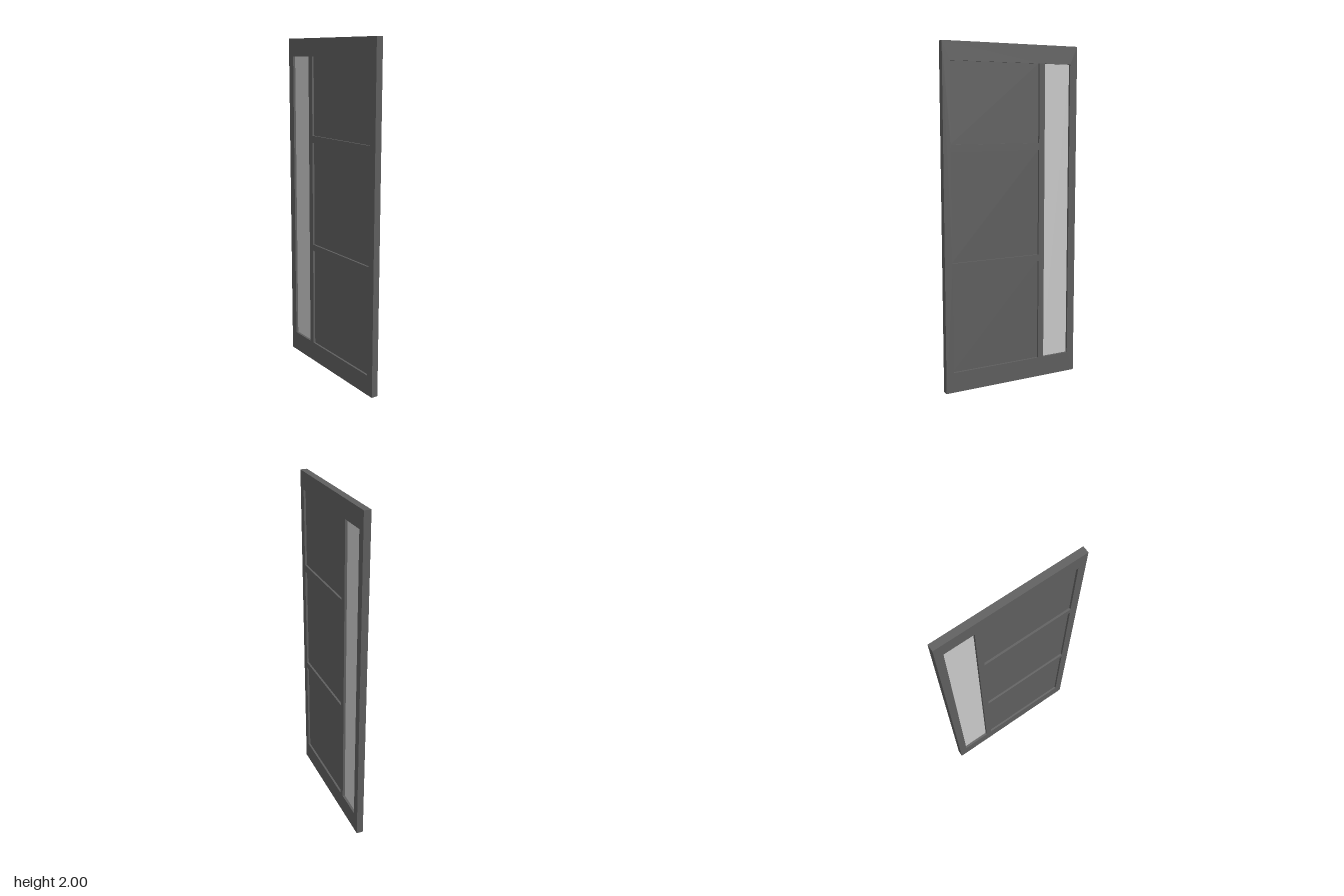
import * as THREE from 'three';

const THICK = 0.04;
const BOTTOM = 0.12, TOP = 1.895;

// Adds a rectangle (z range, y range) to a shape or path
function rect(path, z0, z1, y0, y1) {
  path.moveTo(z0, y0);
  path.lineTo(z1, y0);
  path.lineTo(z1, y1);
  path.lineTo(z0, y1);
  path.closePath();
  return path;
}

// Thin sheet filling an opening, set in the middle of the door
function sheet(name, material, thick, z0, z1, y0, y1) {
  const mesh = new THREE.Mesh(new THREE.BoxGeometry(thick, y1 - y0, z1 - z0), material);
  mesh.position.set(0, (y0 + y1) / 2, (z0 + z1) / 2);
  mesh.name = name;
  return mesh;
}

export function createModel() {
  const door = new THREE.Group();
  door.name = 'door';
  const dark = new THREE.MeshStandardMaterial({ color: 0x5f5f5f });
  const pale = new THREE.MeshStandardMaterial({ color: 0xcccccc });

  // Openings: three stacked panels and one tall window
  const panels = [[BOTTOM, 0.728], [0.767, 1.395], [1.437, TOP]];
  const panelZ = [-0.176, 0.385];
  const windowZ = [-0.385, -0.213];

  // Stiles and rails as one pierced slab
  const outline = rect(new THREE.Shape(), -0.432, 0.432, 0, 2);
  for (const [y0, y1] of panels) outline.holes.push(rect(new THREE.Path(), ...panelZ, y0, y1));
  outline.holes.push(rect(new THREE.Path(), ...windowZ, BOTTOM, TOP));
  const slab = new THREE.ExtrudeGeometry(outline, { depth: THICK, bevelEnabled: false });
  slab.translate(0, 0, -THICK / 2).rotateY(-Math.PI / 2);
  const frame = new THREE.Mesh(slab, dark);
  frame.name = 'frame';
  door.add(frame);

  // Recessed panels
  panels.forEach(([y0, y1], i) => {
    door.add(sheet(['lowerPanel', 'middlePanel', 'upperPanel'][i], dark, 0.016, ...panelZ, y0, y1));
  });

  // Window pane
  door.add(sheet('windowPane', pale, 0.012, ...windowZ, BOTTOM, TOP));

  return door;
}
